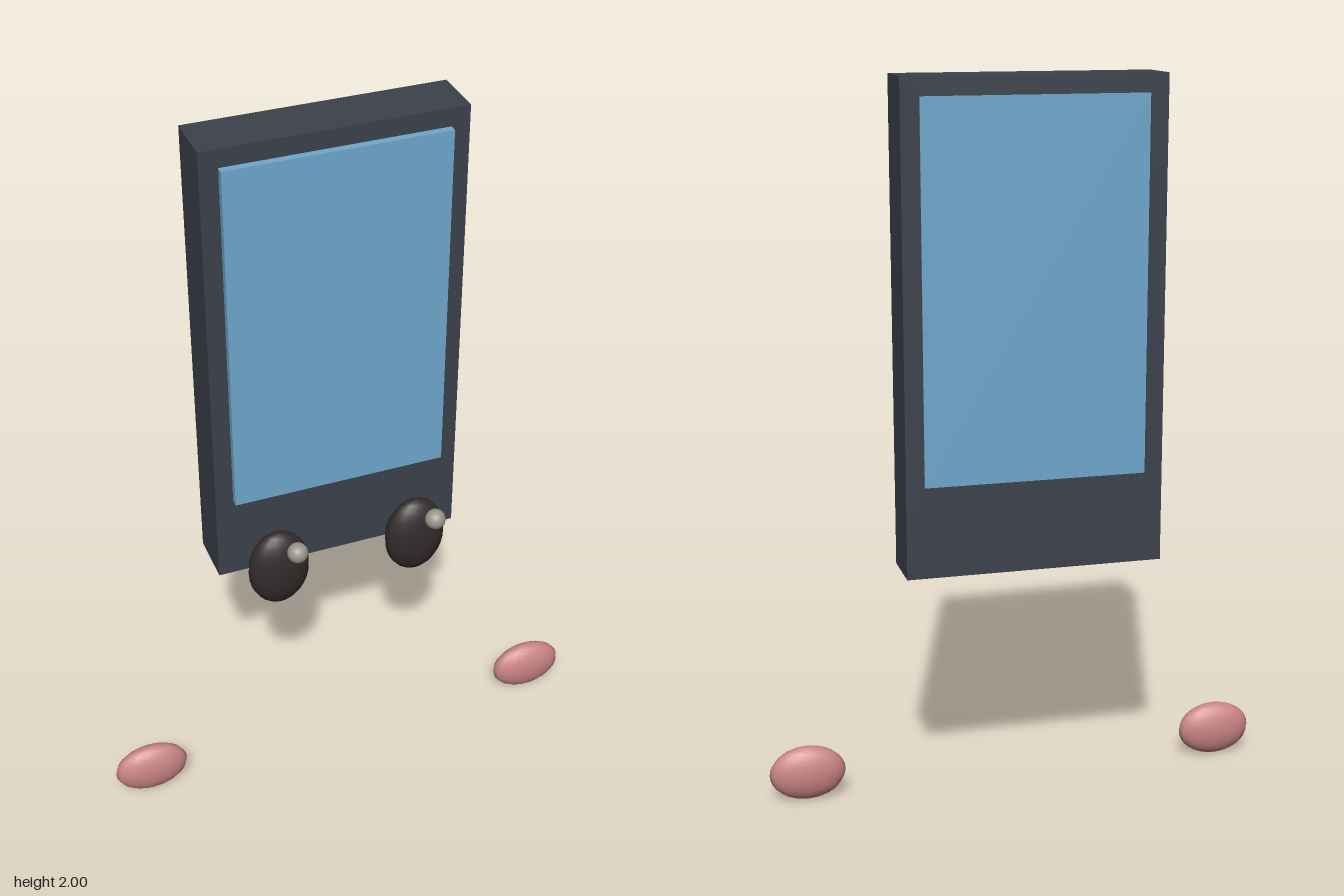
import * as THREE from 'three';

const material = (color) => new THREE.MeshStandardMaterial({ color });

// Rectangle points, shared by the frame outline and its window
function rectangle(target, halfWidth, bottom, top) {
  target.moveTo(-halfWidth, bottom);
  target.lineTo(halfWidth, bottom);
  target.lineTo(halfWidth, top);
  target.lineTo(-halfWidth, top);
  target.closePath();
  return target;
}

// Smooth ball stretched to the given radii
function ellipsoid(name, mat, position, radii) {
  const geometry = new THREE.SphereGeometry(1, 16, 16);
  geometry.scale(...radii);
  const mesh = new THREE.Mesh(geometry, mat);
  mesh.name = name;
  mesh.position.set(...position);
  return mesh;
}

export function createModel() {
  const model = new THREE.Group();
  model.name = 'screenFace';

  // Dark casing with a window through it
  const outline = rectangle(new THREE.Shape(), 0.353, 0.69, 2);
  outline.holes.push(rectangle(new THREE.Path(), 0.303, 0.94, 1.95));
  const casing = new THREE.Mesh(
    new THREE.ExtrudeGeometry(outline, { depth: 0.151, bevelEnabled: false }),
    material(0x3c414b)
  );
  casing.name = 'casing';
  casing.position.z = -0.165;
  model.add(casing);

  // Glass pane filling the window, standing proud of the front
  const glass = new THREE.Mesh(new THREE.BoxGeometry(0.606, 1.01, 0.175), material(0x6fa8cc));
  glass.name = 'glass';
  glass.position.set(0, 1.445, -0.081);
  model.add(glass);

  // Eyes, glints and cheeks; both glints sit on the same side of the eye
  const eyeMaterial = material(0x332b2b);
  const glintMaterial = material(0x9c958a);
  const cheekMaterial = material(0xc98484);
  for (const [side, s] of [['left', 1], ['right', -1]]) {
    model.add(
      ellipsoid(side + 'Eye', eyeMaterial, [s * 0.203, 0.738, 0.062], [0.088, 0.121, 0.049]),
      ellipsoid(side + 'Glint', glintMaterial, [s * 0.203 + 0.031, 0.834, 0.134], [0.029, 0.029, 0.029]),
      ellipsoid(side + 'Cheek', cheekMaterial, [s * 0.605, 0.078, 0.042], [0.107, 0.078, 0.042])
    );
  }
  return model;
}
